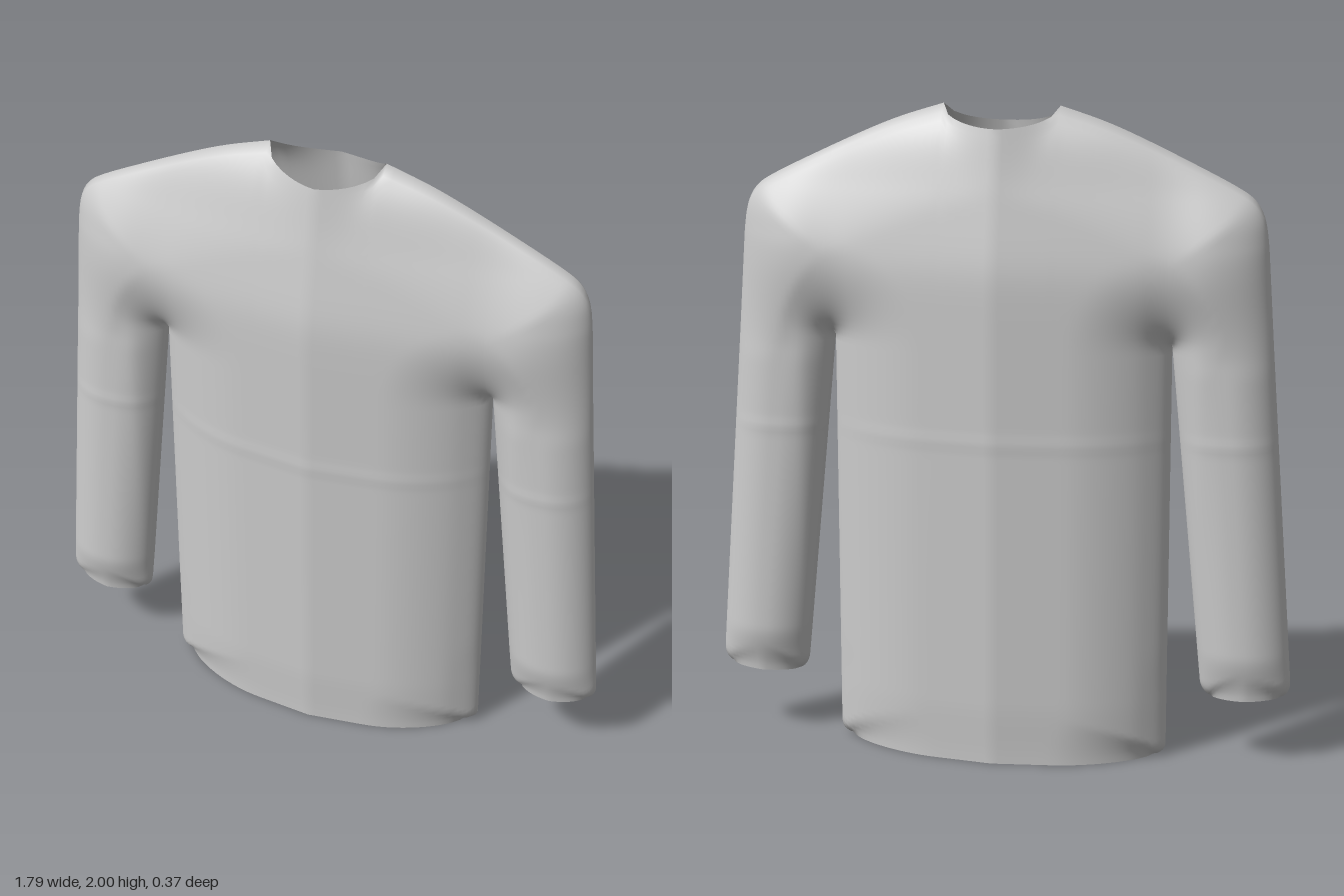
import * as THREE from 'three';
import { mergeVertices } from 'three/addons/utils/BufferGeometryUtils.js';

const { smoothstep, lerp, clamp } = THREE.MathUtils;
const V = (x, y) => new THREE.Vector2(x, y);
const SIDE = 0.515, ARMPIT = 1.29, NECK = 0.175;
const LOWER = 76, UPPER = 30;

// Shoulder line from the neck to the top of the arm
const shoulder = new THREE.SplineCurve([
  V(NECK, 2), V(0.3, 1.96), V(0.41, 1.915), V(0.56, 1.845), V(0.7, 1.775),
  V(0.755, 1.735), V(0.783, 1.68), V(0.795, 1.6),
]).getPoints(42);

function shoulderY(x) {
  for (let i = 1; i < shoulder.length; i++) {
    const a = shoulder[i - 1], b = shoulder[i];
    if (x <= b.x) return lerp(a.y, b.y, clamp((x - a.x) / (b.x - a.x), 0, 1));
  }
  return shoulder[shoulder.length - 1].y;
}

const roundCorner = (c) => 1 - Math.sqrt(1 - clamp(c, 0, 1) ** 2);

// Hem of the torso, with rounded corners at the side seams
const torsoX = [];
for (let i = 0; i <= 8; i++) torsoX.push((NECK * i) / 8);
for (let i = 1; i <= 20; i++) torsoX.push(NECK + (SIDE - NECK) * Math.sin((i / 20) * Math.PI / 2));
const hemPoint = (x) => V(x, 0.04 * roundCorner((x - SIDE + 0.04) / 0.04));

// Cuff of the sleeve, u running from its inner to its outer edge
const ARM_OUT = V(0.817, ARMPIT);
const sleeveU = Array.from({ length: 29 }, (_, i) => 0.5 - 0.5 * Math.cos((i / 28) * Math.PI));
const armPoint = (u) => V(lerp(SIDE, ARM_OUT.x, u), ARMPIT);
function cuffPoint(u) {
  const lift = 0.003 + 0.013 * u + 0.05 * roundCorner((Math.abs(2 * u - 1) - 0.74) / 0.26);
  return V(lerp(0.622, 0.898, u), 0.2).lerp(armPoint(u), lift / (ARMPIT - 0.2));
}

// Closed edges of one half: shoulder and outer sleeve, then inner sleeve and side seam
const outline = [
  [...shoulder, ...sleeveU.filter((u) => u > 0.87).reverse().map(cuffPoint)],
  [
    ...sleeveU.filter((u) => u < 0.13).reverse().map(cuffPoint),
    V(SIDE, ARMPIT),
    ...torsoX.filter((x) => x > SIDE - 0.04).reverse().map(hemPoint),
  ],
];
outline[0].splice(shoulder.length, 0, ARM_OUT);

function edgeDistance(x, y) {
  let best = Infinity;
  for (const line of outline) {
    for (let i = 1; i < line.length; i++) {
      const a = line[i - 1], b = line[i];
      const dx = b.x - a.x, dy = b.y - a.y;
      const t = clamp(((x - a.x) * dx + (y - a.y) * dy) / (dx * dx + dy * dy), 0, 1);
      best = Math.min(best, Math.hypot(x - a.x - t * dx, y - a.y - t * dy));
    }
  }
  return best;
}

// Half thickness of the garment: a lens that closes along the outline
function depth(px, y) {
  const x = Math.abs(px);
  const d = edgeDistance(x, y);
  if (d < 1e-4) return 0;
  const torso = 0.185 - 0.115 * x - 0.006 * (1 - smoothstep(y, 0, 0.2));
  const arm = 0.085 + 0.045 * smoothstep(y, 1.25, 1.6) - 0.028 * (1 - smoothstep(y, 0.2, 0.36));
  let full = lerp(torso, arm, smoothstep(x, 0.42, 0.66));
  // chest leans in towards the neck
  full -= 0.18 * 0.03 * Math.log(1 + Math.exp((y - 1.52) / 0.03));
  // faint fold across the waist
  full += 0.002 * Math.exp(-(((y - 1.01) / 0.018) ** 2));
  const armRound = lerp(0.135, 0.26, smoothstep(y, 1.2, 1.55));
  const round = lerp(0.3, armRound, smoothstep(x, 0.45, 0.62)) - 0.1 * smoothstep(y, 1.75, 1.95);
  const e = Math.min(d / round, 1);
  return full * Math.pow(1 - (1 - e) ** 2, 0.65);
}

// Column of points through bottom, middle and top
function column(bottom, middle, top) {
  const pts = [];
  for (let j = 0; j < LOWER; j++) pts.push(bottom.clone().lerp(middle, j / LOWER));
  for (let j = 0; j <= UPPER; j++) pts.push(middle.clone().lerp(top, j / UPPER));
  return pts;
}

function torsoColumns() {
  const half = torsoX.map((x) => {
    const top = x < NECK ? 2 - 0.06 * Math.sqrt(1 - (x / NECK) ** 2) : shoulderY(x);
    return column(hemPoint(x), V(x, ARMPIT), V(x, top));
  });
  const mirrored = half.slice(1).reverse().map((col) => col.map((p) => V(-p.x, p.y)));
  return [...mirrored, ...half];
}

function sleeveColumns() {
  return sleeveU.map((u) => {
    const topX = lerp(SIDE, 0.795, u);
    return column(cuffPoint(u), armPoint(u), V(topX, shoulderY(topX)));
  });
}

// Front and back sheets of one part; mirror = -1 makes the right-hand part
function addPart(cols, mirror, position, index) {
  const start = index.length;
  const rows = cols[0].length;
  for (const face of [1, -1]) {
    const base = position.length / 3;
    for (const col of cols) {
      for (const p of col) position.push(p.x * mirror, p.y, face * depth(p.x, p.y));
    }
    for (let i = 0; i < cols.length - 1; i++) {
      for (let j = 0; j < rows - 1; j++) {
        const a = base + i * rows + j, b = a + rows, c = b + 1, d = a + 1;
        if (face * mirror > 0) index.push(a, b, c, a, c, d);
        else index.push(a, c, b, a, d, c);
      }
    }
  }
  return [start, index.length];
}

export function createModel() {
  const group = new THREE.Group();
  group.name = 'longSleevedShirt';
  const cloth = new THREE.MeshStandardMaterial({ color: 0xcccccc, side: THREE.DoubleSide });
  cloth.name = 'greyCloth';

  const position = [], index = [];
  const sleeve = sleeveColumns();
  const parts = {
    torso: addPart(torsoColumns(), 1, position, index),
    leftSleeve: addPart(sleeve, 1, position, index),
    rightSleeve: addPart(sleeve, -1, position, index),
  };

  // Weld the seams so shading runs smoothly from torso to sleeves
  let shell = new THREE.BufferGeometry();
  shell.setAttribute('position', new THREE.Float32BufferAttribute(position, 3));
  shell.setIndex(index);
  shell = mergeVertices(shell, 1e-4);
  shell.computeVertexNormals();
  const welded = Array.from(shell.index.array);

  for (const [name, [from, to]] of Object.entries(parts)) {
    const geometry = new THREE.BufferGeometry();
    geometry.setAttribute('position', shell.attributes.position);
    geometry.setAttribute('normal', shell.attributes.normal);
    geometry.setIndex(welded.slice(from, to));
    const mesh = new THREE.Mesh(geometry, cloth);
    mesh.name = name;
    group.add(mesh);
  }
  return group;
}
